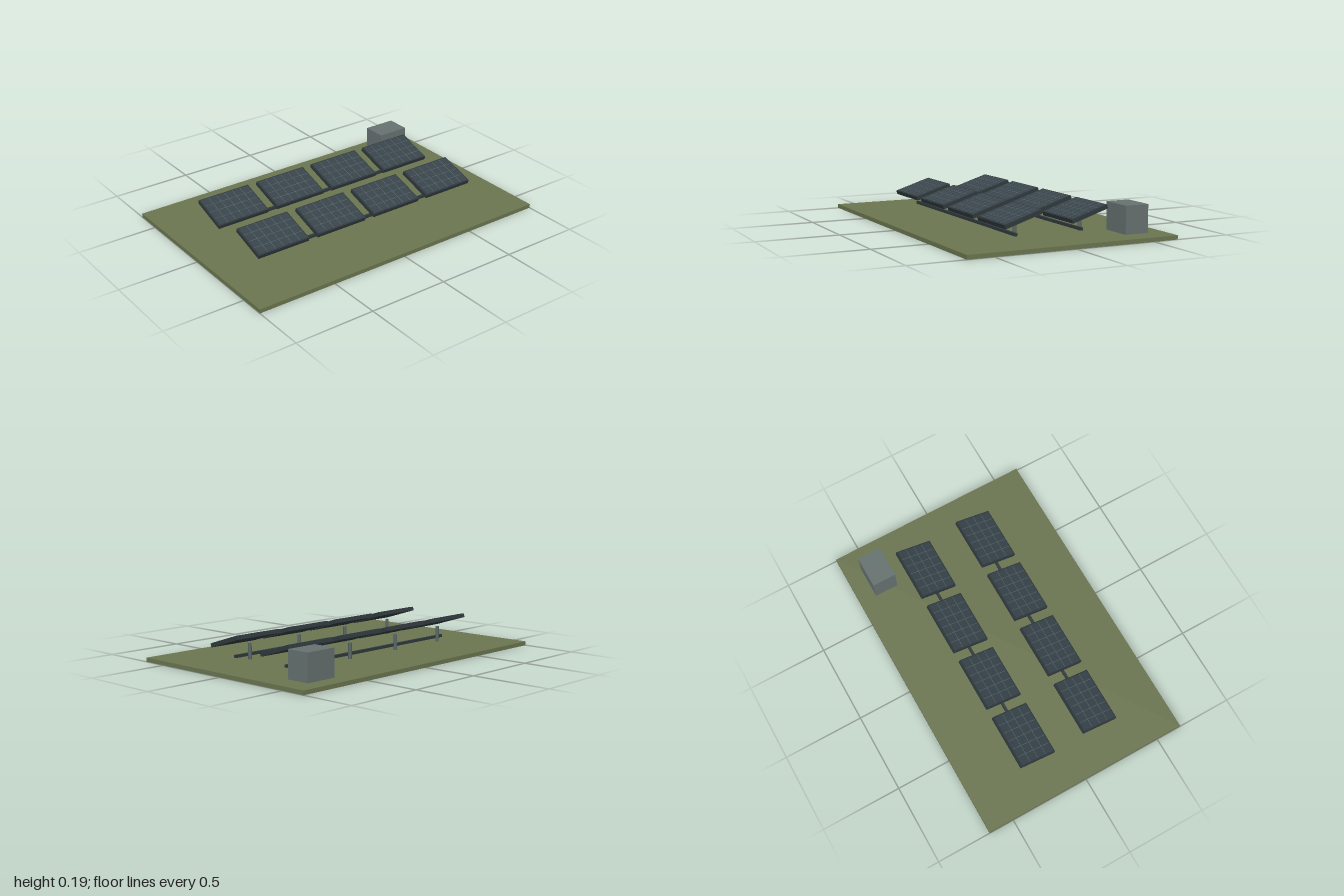
import * as THREE from 'three';

const mat = (name, color) => {
  const m = new THREE.MeshStandardMaterial({ color });
  m.name = name;
  return m;
};

export function createModel() {
  const grass = mat('grass', 0x6b7550);
  const cabinetGrey = mat('cabinetGrey', 0x667270);
  const steel = mat('steel', 0x5c6868);
  const frameDark = mat('frameDark', 0x30393d);
  const cellBlue = mat('cellBlue', 0x37434a);
  const lineGrey = mat('lineGrey', 0x56646a);

  const box = (parent, name, material, w, h, d, x, y, z) => {
    const mesh = new THREE.Mesh(new THREE.BoxGeometry(w, h, d), material);
    mesh.name = name;
    mesh.position.set(x, y, z);
    parent.add(mesh);
    return mesh;
  };

  // One tilted panel: frame slab, cell sheet and thin raised grid lines
  const W = 0.345, D = 0.24, T = 0.024, COLS = 6, ROWS = 4;
  const makePanel = () => {
    const panel = new THREE.Group();
    panel.name = 'solarPanel';
    box(panel, 'panelFrame', frameDark, W, T, D, 0, 0, 0);
    const w = W - 0.016, d = D - 0.016, top = T / 2;
    box(panel, 'cellSheet', cellBlue, w, 0.003, d, 0, top + 0.0005, 0);
    for (let i = 1; i < COLS; i++)
      box(panel, 'columnLine', lineGrey, 0.003, 0.003, d, (i / COLS - 0.5) * w, top + 0.0015, 0);
    for (let j = 1; j < ROWS; j++)
      box(panel, 'rowLine', lineGrey, w, 0.003, 0.003, 0, top + 0.0015, (j / ROWS - 0.5) * d);
    panel.rotation.x = THREE.MathUtils.degToRad(17.5);
    return panel;
  };

  const model = new THREE.Group();
  model.name = 'solarField';
  box(model, 'ground', grass, 2, 0.025, 1.32, 0, 0.0125, 0);
  box(model, 'inverterCabinet', cabinetGrey, 0.206, 0.167, 0.15, 0.757, 0.1085, -0.476);

  // Two rows of four panels, each on a post, joined by a cable rail
  const postGeometry = new THREE.CylinderGeometry(0.011, 0.011, 0.1, 8);
  for (const z of [0.211, -0.213]) {
    const row = new THREE.Group();
    row.name = 'panelRow';
    row.position.z = z;
    for (let i = 0; i < 4; i++) {
      const x = (i - 1.5) * 0.408 - 0.002;
      const panel = makePanel();
      panel.position.set(x, 0.147, 0);
      const post = new THREE.Mesh(postGeometry, steel);
      post.name = 'post';
      post.position.set(x, 0.073, -0.033);
      row.add(panel, post);
    }
    box(row, 'cableRail', frameDark, 1.395, 0.017, 0.017, -0.002, 0.048, 0.002);
    model.add(row);
  }
  return model;
}
